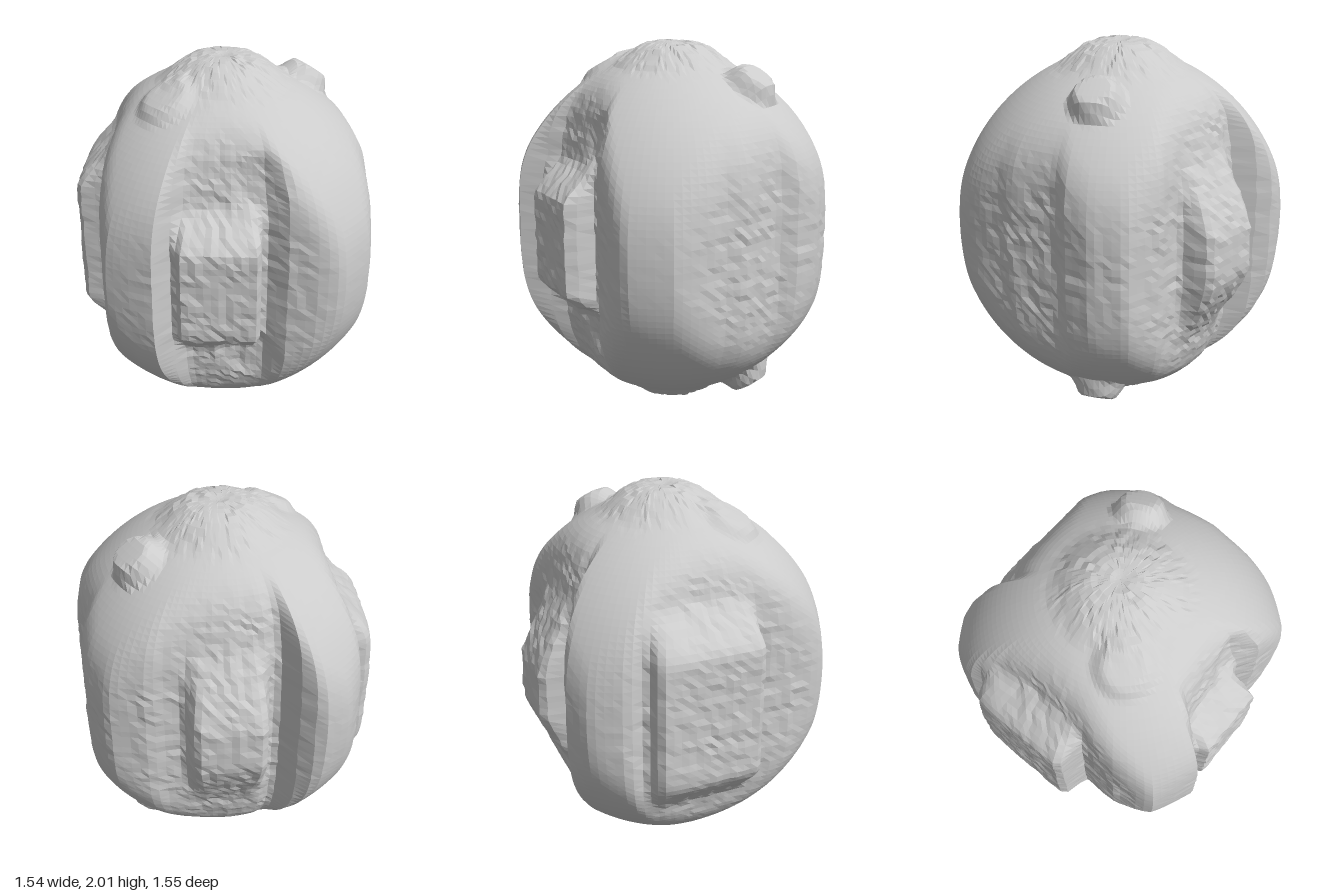
import * as THREE from 'three';

const { smoothstep, clamp } = THREE.MathUtils;

// Horizontal outline [x, z] of the body with its grooved sides; corners are rounded by the ellipsoid
const OUTLINE = [
  [0.765, 0.05], [0.755, 0.15], [0.77, 0.27], [0.78, 0.47], [0.64, 0.66], [0.5, 0.66], [0.33, 0.64],
  [0.25, 0.58], [0, 0.57], [-0.17, 0.58], [-0.25, 0.67], [-0.31, 0.78], [-0.57, 0.69], [-0.61, 0.45],
  [-0.61, 0.32], [-0.6, 0.2], [-0.6, -0.1], [-0.62, -0.3], [-0.69, -0.48], [-0.62, -0.67],
  [-0.46, -0.73], [-0.33, -0.64], [-0.25, -0.54], [-0.17, -0.58], [0, -0.6], [0.2, -0.6], [0.33, -0.61],
  [0.4, -0.63], [0.61, -0.59], [0.71, -0.44], [0.73, -0.3], [0.7, -0.2], [0.73, -0.08],
];

// Raised pads: outward direction, distance, sideways ramps up and down, flat half height and fade height
const PADS = [
  { n: [0, 1], d: 0.745, up: [-0.3, -0.18], down: [0.19, 0.28], flat: 0.22, fade: 0.44 },
  { n: [0, -1], d: 0.765, up: [-0.28, -0.16], down: [0.15, 0.31], flat: 0.08, fade: 0.55 },
  { n: [-1, 0], d: 0.765, up: [-0.46, -0.32], down: [0.2, 0.33], flat: 0.32, fade: 0.58 },
];

// Knobs pushed out along the surface and hollows pushed in: position, height, radius
const KNOBS = [
  { p: [0.42, 1.8, -0.22], h: 0.08, r: 0.16 },
  { p: [0.42, 0.2, -0.22], h: 0.08, r: 0.16 },
  { p: [-0.28, 1.86, 0.26], h: 0.035, r: 0.18 },
  { p: [-0.26, 0.14, 0.2], h: 0.025, r: 0.16 },
  { p: [0.2, 1.55, 0.57], h: -0.03, r: 0.16 },
  { p: [0.15, 0.55, 0.58], h: -0.03, r: 0.18 },
];

const cross = (ax, ay, bx, by) => ax * by - ay * bx;

// Minimum of two values with a rounded transition of width k
function softMin(a, b, k) {
  const h = Math.max(k - Math.abs(a - b), 0);
  return Math.min(a, b) - (h * h) / (4 * k);
}

// Distance from the axis to the outline in direction (cx, cz)
function outlineRadius(cx, cz) {
  for (let i = 0; i < OUTLINE.length; i++) {
    const a = OUTLINE[i], b = OUTLINE[(i + 1) % OUTLINE.length];
    if (cross(...a, cx, cz) >= -1e-9 && cross(cx, cz, ...b) >= -1e-9 && a[0] * cx + a[1] * cz > 0) {
      return cross(...a, ...b) / cross(cx, cz, b[0] - a[0], b[1] - a[1]);
    }
  }
  return 0.76;
}

// Repeatable value in -1..1 for a small cell of the surface
function grain(x, y, z) {
  const s = Math.sin(Math.round(x * 20) * 12.99 + Math.round(y * 20) * 78.23 + Math.round(z * 20) * 37.72) * 43758.5;
  return (s - Math.floor(s)) * 2 - 1;
}

function shapePoint(p) {
  const dir = p.clone();
  const len = Math.hypot(dir.x, dir.z) || 1;
  const cx = dir.x / len, cz = dir.z / len;
  let y = 0.95 * dir.y;
  const full = 0.9 * Math.hypot(dir.x, dir.z) ** 1.12;

  // Ellipsoid cut by the grooved outline, which draws in towards the poles
  let limit = outlineRadius(cx, cz) * (1 - 0.5 * y ** 4);
  for (const { n, d, up, down, flat, fade } of PADS) {
    const facing = cx * n[0] + cz * n[1];
    if (facing < 0.5) continue;
    const dist = d / facing;
    const side = n[0] ? cz * dist : cx * dist;
    const edge = smoothstep(side, ...up) * (1 - smoothstep(side, ...down));
    const weight = edge * (1 - smoothstep(Math.abs(y), flat, fade));
    limit += Math.max(0, dist - limit) * weight;
  }
  const radius = softMin(full, limit, 0.07);

  // Raised caps with a small pit at both poles
  const cap = 0.055 * (1 - smoothstep(full, 0.15, 0.36)) - 0.015 * (1 - smoothstep(full, 0, 0.08));
  y += Math.sign(dir.y) * cap;
  p.set(cx * radius, 1 + y, cz * radius);

  // Knobs and shallow hollows
  let push = 0;
  for (const k of KNOBS) {
    const dist = p.distanceTo(new THREE.Vector3(...k.p));
    push += k.h * (1 - smoothstep(dist, k.r * 0.5, k.r));
  }

  // Chipped surface, strongest in the grooves and near the poles
  const rough = clamp((full - radius) * 0.05, 0, 0.006) + 0.006 * smoothstep(Math.abs(y), 0.82, 0.93);
  push += rough * grain(dir.x, dir.y, dir.z) * smoothstep(full, 0, 0.1);
  return p.addScaledVector(dir, push);
}

export function createModel() {
  const group = new THREE.Group();
  group.name = 'lumpyRock';

  const geometry = new THREE.SphereGeometry(1, 128, 84);
  const pos = geometry.attributes.position;
  const p = new THREE.Vector3();
  for (let i = 0; i < pos.count; i++) {
    shapePoint(p.fromBufferAttribute(pos, i));
    pos.setXYZ(i, p.x, p.y, p.z);
  }
  geometry.computeVertexNormals();

  const body = new THREE.Mesh(geometry, new THREE.MeshStandardMaterial({ color: 0xcccccc, flatShading: true }));
  body.name = 'rockBody';
  group.add(body);
  return group;
}
